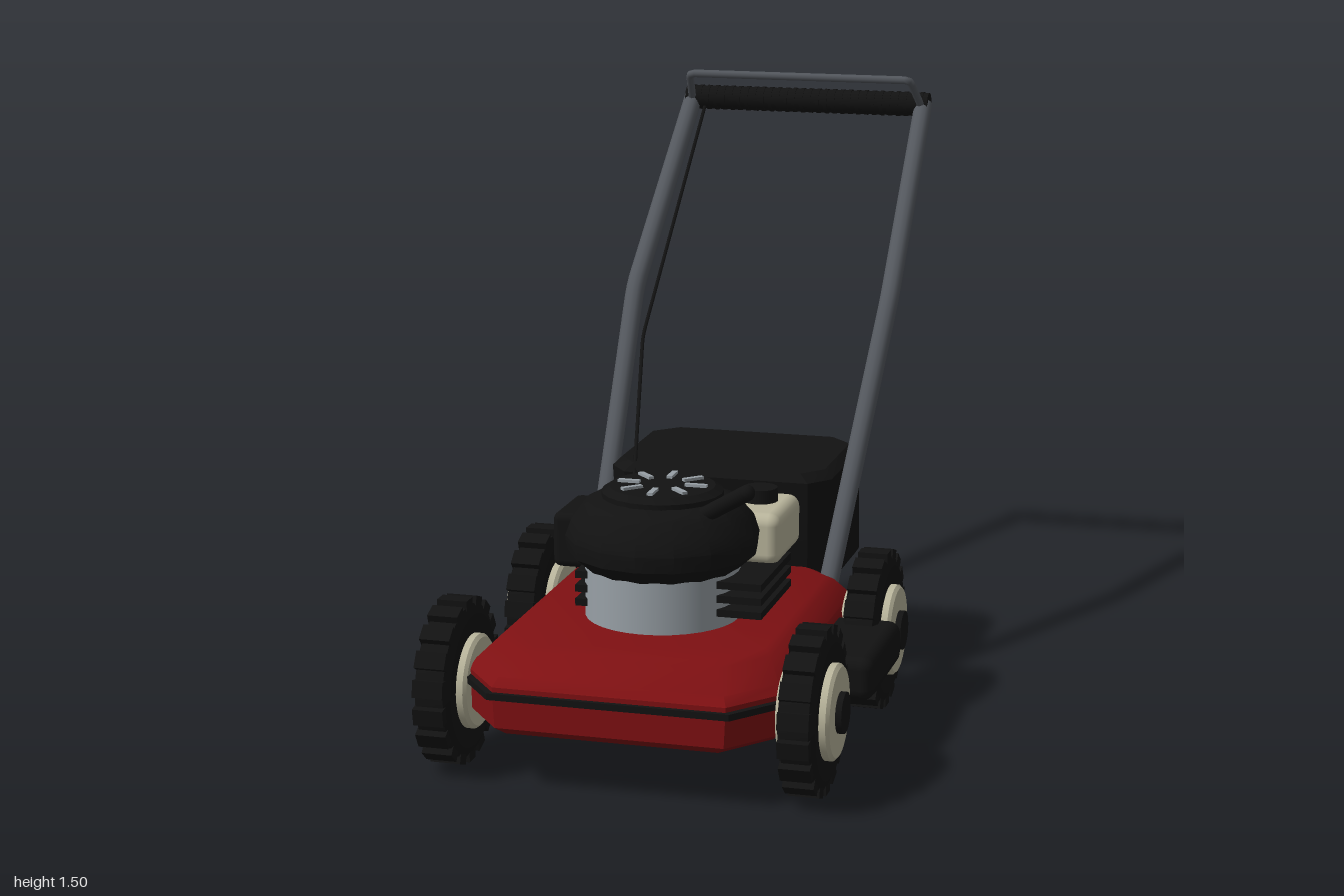
import * as THREE from 'three';
import { toCreasedNormals } from 'three/addons/utils/BufferGeometryUtils.js';
import { RoundedBoxGeometry } from 'three/addons/geometries/RoundedBoxGeometry.js';

const paint = (name, color) => Object.assign(new THREE.MeshStandardMaterial({ color }), { name });
const V = (x, y, z) => new THREE.Vector3(x, y, z);

// Horizontal eight-sided outline with cut front and back corners
function ring(y, hw, zb, zf, cf, cb) {
  const fz = zf - cf * 1.25, fx = hw - cf, bz = zb + cb, bx = hw - cb;
  return [V(hw, y, fz), V(hw, y, bz), V(bx, y, zb), V(-bx, y, zb),
    V(-hw, y, bz), V(-hw, y, fz), V(-fx, y, zf), V(fx, y, zf)];
}

// Skin rings from bottom to top and close both ends
function loft(rings, crease = 0.6) {
  const pts = [], tri = (...p) => pts.push(...p);
  const n = rings[0].length, top = rings[rings.length - 1], bottom = rings[0];
  for (let r = 0; r < rings.length - 1; r++) {
    const a = rings[r], b = rings[r + 1];
    for (let i = 0; i < n; i++) {
      const j = (i + 1) % n;
      tri(a[i], a[j], b[j]);
      tri(a[i], b[j], b[i]);
    }
  }
  for (let i = 1; i < n - 1; i++) {
    tri(top[0], top[i], top[i + 1]);
    tri(bottom[0], bottom[i + 1], bottom[i]);
  }
  return toCreasedNormals(new THREE.BufferGeometry().setFromPoints(pts), crease);
}

// Tube along straight segments with slightly rounded bends
function bentTube(points, radius, bend = 0.04, sides = 12) {
  const path = new THREE.CurvePath();
  let from = points[0];
  for (let i = 1; i < points.length - 1; i++) {
    const p = points[i];
    const a = p.clone().add(points[i - 1].clone().sub(p).setLength(bend));
    const b = p.clone().add(points[i + 1].clone().sub(p).setLength(bend));
    path.add(new THREE.LineCurve3(from, a));
    path.add(new THREE.QuadraticBezierCurve3(a, p, b));
    from = b;
  }
  path.add(new THREE.LineCurve3(from, points[points.length - 1]));
  return new THREE.TubeGeometry(path, 64, radius, sides);
}

const lathe = (profile, sides) => toCreasedNormals(
  new THREE.LatheGeometry(profile.map(([r, y]) => new THREE.Vector2(r, y)), sides), 0.5);

export function createModel() {
  const red = paint('deck red', 0x7e1012);
  const black = paint('black plastic', 0x121212);
  const cream = paint('cream', 0xb9b59c);
  const silver = paint('engine silver', 0x98a0a6);
  const steel = paint('tube steel', 0x53575d);

  const model = new THREE.Group();
  model.name = 'lawnMower';
  const body = new THREE.Group();
  body.name = 'mowerBody';
  body.position.x = -0.01;
  model.add(body);
  const add = (name, geo, mat, x = 0, y = 0, z = 0, parent = body) => {
    const m = new THREE.Mesh(geo, mat);
    m.name = name;
    m.position.set(x, y, z);
    parent.add(m);
    return m;
  };
  const cyl = (rt, rb, h, sides = 32) => new THREE.CylinderGeometry(rt, rb, h, sides);

  // Cutting deck with a trim band, blade and side chute
  add('deck', loft([
    ring(0.14, 0.36, 0.03, 0.96, 0.1, 0.07), ring(0.16, 0.38, 0.01, 0.985, 0.1, 0.07),
    ring(0.26, 0.385, 0.005, 0.985, 0.1, 0.07), ring(0.28, 0.375, 0.012, 0.965, 0.1, 0.07),
    ring(0.32, 0.335, 0.03, 0.89, 0.1, 0.07), ring(0.33, 0.315, 0.045, 0.86, 0.1, 0.07),
  ]), red);
  add('deckTrim', loft([ring(0.232, 0.395, -0.003, 0.997, 0.1, 0.07),
    ring(0.248, 0.395, -0.003, 0.997, 0.1, 0.07)]), black);
  add('blade', new THREE.BoxGeometry(0.62, 0.014, 0.06), steel, 0, 0.132, 0.49);
  add('sideChute', new RoundedBoxGeometry(0.2, 0.11, 0.35, 3, 0.03), black, 0.44, 0.21, 0.395);

  // Wheels: tyre with lugs, cream rim and black cap
  const tyre = lathe([[0.11, -0.04], [0.165, -0.045], [0.188, -0.034],
    [0.188, 0.034], [0.165, 0.045], [0.11, 0.04]], 36).rotateZ(Math.PI / 2);
  const rim = lathe([[0, -0.065], [0.108, -0.065], [0.116, -0.057],
    [0.116, 0.057], [0.108, 0.065], [0, 0.065]], 32).rotateZ(Math.PI / 2);
  const lug = new THREE.BoxGeometry(0.076, 0.03, 0.042);
  const cap = cyl(0.05, 0.05, 0.03, 24).rotateZ(Math.PI / 2);
  for (const z of [0.79, 0.122]) {
    for (const s of [-1, 1]) {
      const wheel = new THREE.Group();
      wheel.name = (z > 0.5 ? 'front' : 'rear') + (s > 0 ? 'Left' : 'Right') + 'Wheel';
      wheel.position.set(s * 0.445, 0.205, z);
      body.add(wheel);
      add('tyre', tyre, black, 0, 0, 0, wheel);
      add('rim', rim, cream, 0, 0, 0, wheel);
      add('hubCap', cap, black, s * 0.065, 0, 0, wheel);
      for (let i = 0; i < 18; i++) {
        const a = (i / 18) * Math.PI * 2;
        add('treadLug', lug, black, 0, Math.cos(a) * 0.189, Math.sin(a) * 0.189, wheel).rotation.x = a;
      }
    }
  }

  // Engine block, cooling fins, shroud and fan cover
  const engine = new THREE.Group();
  engine.name = 'engine';
  engine.position.z = 0.52;
  body.add(engine);
  add('engineBlock', cyl(0.192, 0.192, 0.16), silver, 0, 0.4, 0, engine);
  for (let i = 0; i < 3; i++) {
    add('coolingFin', new THREE.BoxGeometry(0.47, 0.018, 0.3), black, 0.04, 0.37 + i * 0.035, -0.05, engine);
  }
  add('shroud', lathe([[0, 0.455], [0.19, 0.455], [0.235, 0.495], [0.24, 0.535],
    [0.225, 0.575], [0.19, 0.615], [0.15, 0.63], [0, 0.63]], 16), black, 0, 0, 0, engine);
  add('fanCover', lathe([[0.15, 0.62], [0.15, 0.642], [0.13, 0.655], [0, 0.655]], 24), black, 0, 0, 0, engine);
  for (let i = 0; i < 8; i++) {
    const a = (i / 8) * Math.PI * 2;
    add('fanSlot', new THREE.BoxGeometry(0.055, 0.008, 0.014), silver,
      Math.cos(a) * 0.085, 0.658, -Math.sin(a) * 0.085, engine).rotation.y = a;
  }
  add('muffler', new RoundedBoxGeometry(0.16, 0.14, 0.2, 2, 0.02), black, -0.21, 0.49, -0.11, engine);
  add('airCleaner', new RoundedBoxGeometry(0.175, 0.132, 0.24, 3, 0.03), cream, 0.185, 0.506, -0.2, engine);
  add('airCleanerCap', cyl(0.043, 0.045, 0.04, 20), black, 0.19, 0.586, -0.22, engine);
  add('starterHandle', bentTube([V(0.13, 0.61, 0.09), V(0.258, 0.695, 0.172)], 0.02), black, 0, 0, 0, engine);
  const tip = add('starterHandleTip', new THREE.SphereGeometry(0.02, 12, 8), black, 0.258, 0.695, 0.172, engine);
  tip.scale.setScalar(1);

  // Grass bag with ribs on its sloping back
  add('grassBag', loft([
    ring(0.25, 0.28, -0.445, -0.005, 0.05, 0.06), ring(0.265, 0.29, -0.455, 0.0, 0.05, 0.06),
    ring(0.55, 0.297, -0.412, 0.035, 0.05, 0.06), ring(0.572, 0.275, -0.39, 0.02, 0.05, 0.06),
  ]), black);
  for (let i = -2; i <= 2; i++) {
    const rib = add('bagRib', new THREE.BoxGeometry(0.014, 0.27, 0.02), black, i * 0.097, 0.41, -0.434);
    rib.rotation.x = Math.atan2(0.043, 0.285);
  }

  // Handle tubes, grip, safety bail and control cable
  for (const s of [-1, 1]) {
    add(s > 0 ? 'leftHandleTube' : 'rightHandleTube', bentTube([V(s * 0.313, 0.29, 0.078),
      V(s * 0.356, 0.95, -0.44), V(s * 0.336, 1.408, -0.965)], 0.026), steel);
  }
  add('grip', cyl(0.033, 0.033, 0.705, 20).rotateZ(Math.PI / 2), black, 0, 1.408, -0.965);
  for (let i = 0; i < 30; i++) {
    add('gripRidge', cyl(0.035, 0.035, 0.01, 20).rotateZ(Math.PI / 2), black, -0.3335 + i * 0.023, 1.408, -0.965);
  }
  add('safetyBail', bentTube([V(-0.335, 1.4, -0.95), V(-0.318, 1.488, -0.858),
    V(0.318, 1.488, -0.858), V(0.335, 1.4, -0.95)], 0.011, 0.015, 8), steel);
  add('controlCable', bentTube([V(-0.297, 1.39, -0.95), V(-0.33, 0.815, -0.42),
    V(-0.19, 0.485, 0.15)], 0.005, 0.03, 6), black);
  return model;
}
